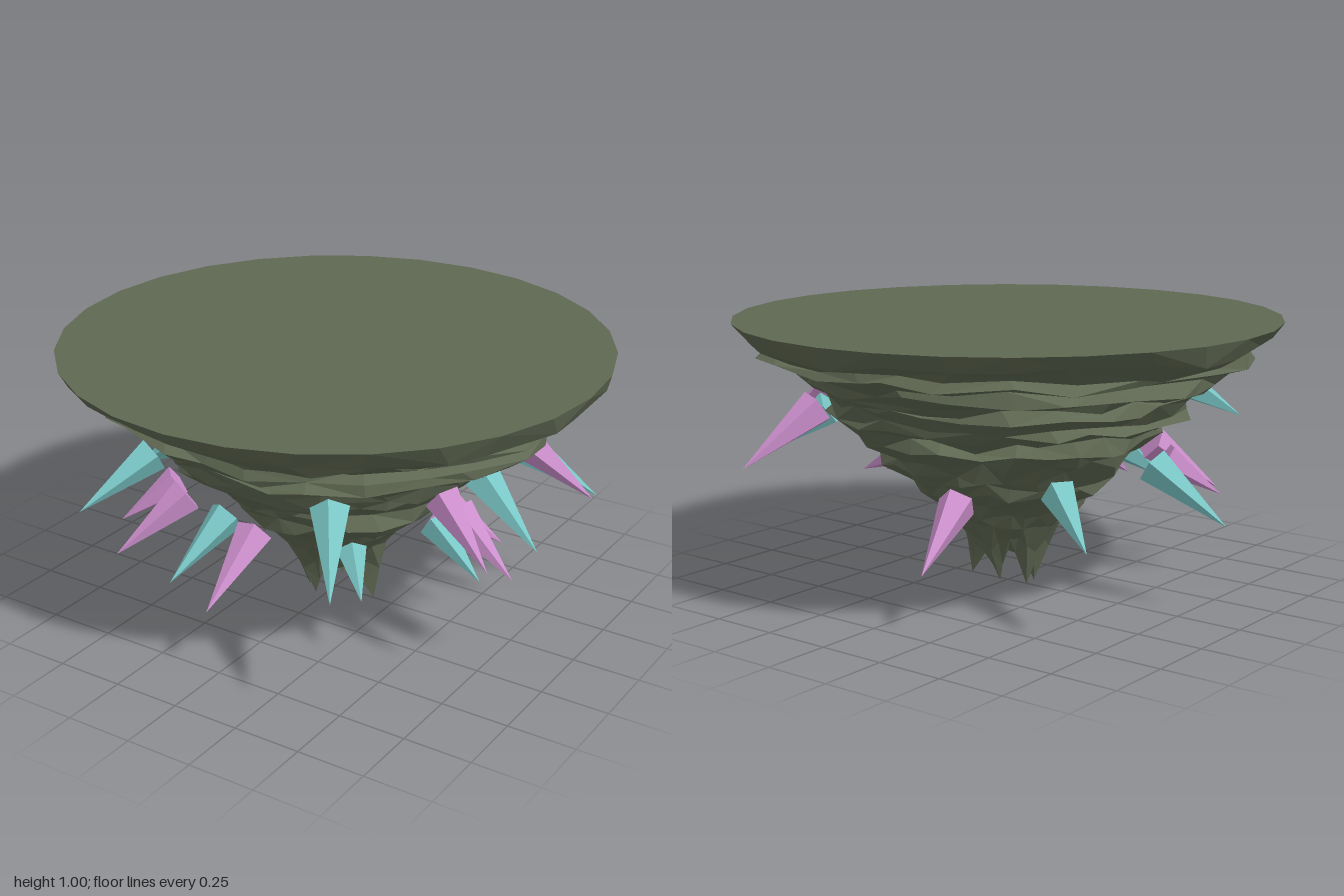
import * as THREE from 'three';

const SIDES = 28;

function seeded(seed) {
  return () => {
    seed = (seed * 16807) % 2147483647;
    return seed / 2147483647;
  };
}

// Rock outline from the rim down: height, radius, radius noise, height noise
const PROFILE = [
  [1, 1, 0, 0], [0.935, 0.945, 0.03, 0.02], [0.895, 0.88, 0.04, 0.018],
  [0.87, 0.875, 0.065, 0.016], [0.842, 0.785, 0.05, 0.016], [0.812, 0.815, 0.065, 0.018],
  [0.785, 0.775, 0.075, 0.016], [0.758, 0.675, 0.04, 0.016], [0.73, 0.69, 0.055, 0.018],
  [0.69, 0.625, 0.04, 0.02], [0.655, 0.635, 0.055, 0.02], [0.61, 0.545, 0.05, 0.022],
  [0.575, 0.545, 0.05, 0.022], [0.53, 0.465, 0.045, 0.025], [0.49, 0.455, 0.045, 0.025],
  [0.44, 0.395, 0.03, 0.025], [0.4, 0.365, 0.03, 0.022], [0.35, 0.3, 0.025, 0.02],
  [0.3, 0.262, 0.025, 0.015], [0.25, 0.215, 0.015, 0.01],
];

// Hanging points of the underside: corner number, radius
const DROPS = [[7, 0.17], [15, 0.065], [20, 0.11], [23, 0.1], [27, 0.105]];

function buildRings() {
  const rand = seeded(4271);
  const rings = PROFILE.map(([y, r, rNoise, yNoise]) => {
    // broad lumps shared by neighbouring corners plus a smaller chip on each corner
    const lumps = Array.from({ length: 10 }, () => rand() * 2 - 1);
    return Array.from({ length: SIDES }, (_, k) => {
      const u = (k / SIDES) * 10, i = Math.floor(u), f = u - i;
      const lump = lumps[i] * (1 - f) + lumps[(i + 1) % 10] * f;
      const radius = r + rNoise * (lump + (rand() - 0.5) * 0.85);
      const height = y + yNoise * (rand() * 2 - 1);
      const a = ((k + (rNoise ? (rand() - 0.5) * 0.5 : 0)) / SIDES) * Math.PI * 2;
      return new THREE.Vector3(radius * Math.sin(a), height, radius * Math.cos(a));
    });
  });

  // Bottom edge falls to each hanging point and rises between them
  const tips = Array.from({ length: SIDES }, (_, k) => {
    const gap = ([drop]) => Math.min(Math.abs(k - drop), SIDES - Math.abs(k - drop));
    const nearest = DROPS.reduce((a, b) => (gap(b) < gap(a) ? b : a));
    const rise = Math.min(gap(nearest) / 2, 1);
    const a = (k / SIDES) * Math.PI * 2;
    const r = THREE.MathUtils.lerp(nearest[1], 0.115, rise);
    const y = rise * 0.13 + (k === 7 ? 0 : rand() * 0.02);
    return new THREE.Vector3(r * Math.sin(a), y, r * Math.cos(a));
  });
  const middle = rings[rings.length - 1].map((v, k) => v.clone().lerp(tips[k], 0.45));
  middle.forEach((v, k) => v.multiply(new THREE.Vector3(k % 2 ? 1 : 0.9, 1, k % 2 ? 1 : 0.9)));
  const inner = tips.map((v) => new THREE.Vector3(v.x * 0.35, 0.15, v.z * 0.35));
  rings.push(middle, tips, inner);
  return rings;
}

function buildRock() {
  const rings = buildRings();
  const points = [];
  const tri = (...corners) => corners.forEach((c) => points.push(c.x, c.y, c.z));
  const top = new THREE.Vector3(0, 1, 0);
  const bottom = new THREE.Vector3(0, 0.15, 0);
  const end = rings[rings.length - 1];
  for (let k = 0; k < SIDES; k++) {
    const n = (k + 1) % SIDES;
    tri(top, rings[0][k], rings[0][n]);
    for (let j = 0; j < rings.length - 1; j++) {
      const up = rings[j], low = rings[j + 1];
      if ((j + k) % 2) {
        tri(up[k], low[k], low[n]);
        tri(up[k], low[n], up[n]);
      } else {
        tri(up[k], low[k], up[n]);
        tri(low[k], low[n], up[n]);
      }
    }
    tri(bottom, end[n], end[k]);
  }
  const geometry = new THREE.BufferGeometry();
  geometry.setAttribute('position', new THREE.Float32BufferAttribute(points, 3));
  geometry.computeVertexNormals();
  return geometry;
}

// Crystals: centre of the wide end, then the tip
const PINK = [
  [[0.29, 0.73, -0.7], [0.4, 0.54, -0.96]],
  [[0.7, 0.73, -0.13], [0.95, 0.54, -0.19]],
  [[0.62, 0.66, 0.3], [0.84, 0.47, 0.38]],
  [[0.59, 0.53, 0.14], [0.84, 0.355, 0.19]],
  [[0.44, 0.42, 0.03], [0.64, 0.33, 0.035]],
  [[0.45, 0.45, -0.04], [0.67, 0.345, -0.06]],
  [[0, 0.45, 0.52], [0, 0.27, 0.81]],
  [[-0.33, 0.49, 0.47], [-0.49, 0.3, 0.69]],
  [[-0.46, 0.47, 0.36], [-0.62, 0.325, 0.5]],
  [[-0.12, 0.4, -0.44], [-0.19, 0.21, -0.72]],
];
const TEAL = [
  [[0.72, 0.73, 0.22], [0.97, 0.54, 0.28]],
  [[0.38, 0.68, 0.62], [0.54, 0.49, 0.87]],
  [[-0.35, 0.71, 0.63], [-0.48, 0.55, 0.88]],
  [[0.62, 0.63, -0.29], [0.865, 0.44, -0.42]],
  [[0.5, 0.46, 0.13], [0.72, 0.32, 0.2]],
  [[0.27, 0.37, 0.32], [0.39, 0.255, 0.44]],
  [[-0.14, 0.47, 0.49], [-0.21, 0.29, 0.74]],
  [[-0.6, 0.51, 0.06], [-0.885, 0.325, 0.09]],
  [[-0.49, 0.47, -0.35], [-0.71, 0.325, -0.5]],
];

export function createModel() {
  const model = new THREE.Group();
  const flat = (name, color) => {
    const material = new THREE.MeshStandardMaterial({ color });
    material.flatShading = true;
    material.name = name;
    return material;
  };

  const rock = new THREE.Mesh(buildRock(), flat('mossy stone', 0x5f6852));
  rock.name = 'floatingRock';
  model.add(rock);

  // Five-sided spikes pointing outward and down
  const up = new THREE.Vector3(0, 1, 0);
  const addCrystals = (name, list, material) => {
    const group = new THREE.Group();
    group.name = name;
    list.forEach(([from, to], i) => {
      const base = new THREE.Vector3(...from), tip = new THREE.Vector3(...to);
      const axis = tip.clone().sub(base);
      const length = axis.length();
      const cone = new THREE.ConeGeometry(0.04 + length * 0.085, length, 5);
      cone.rotateY(i * 1.3);
      cone.translate(0, length / 2, 0);
      const crystal = new THREE.Mesh(cone, material);
      crystal.name = 'crystal';
      crystal.position.copy(base);
      crystal.quaternion.setFromUnitVectors(up, axis.normalize());
      group.add(crystal);
    });
    model.add(group);
  };
  addCrystals('pinkCrystals', PINK, flat('pink crystal', 0xcc8fcc));
  addCrystals('tealCrystals', TEAL, flat('teal crystal', 0x7ac6c6));
  return model;
}
